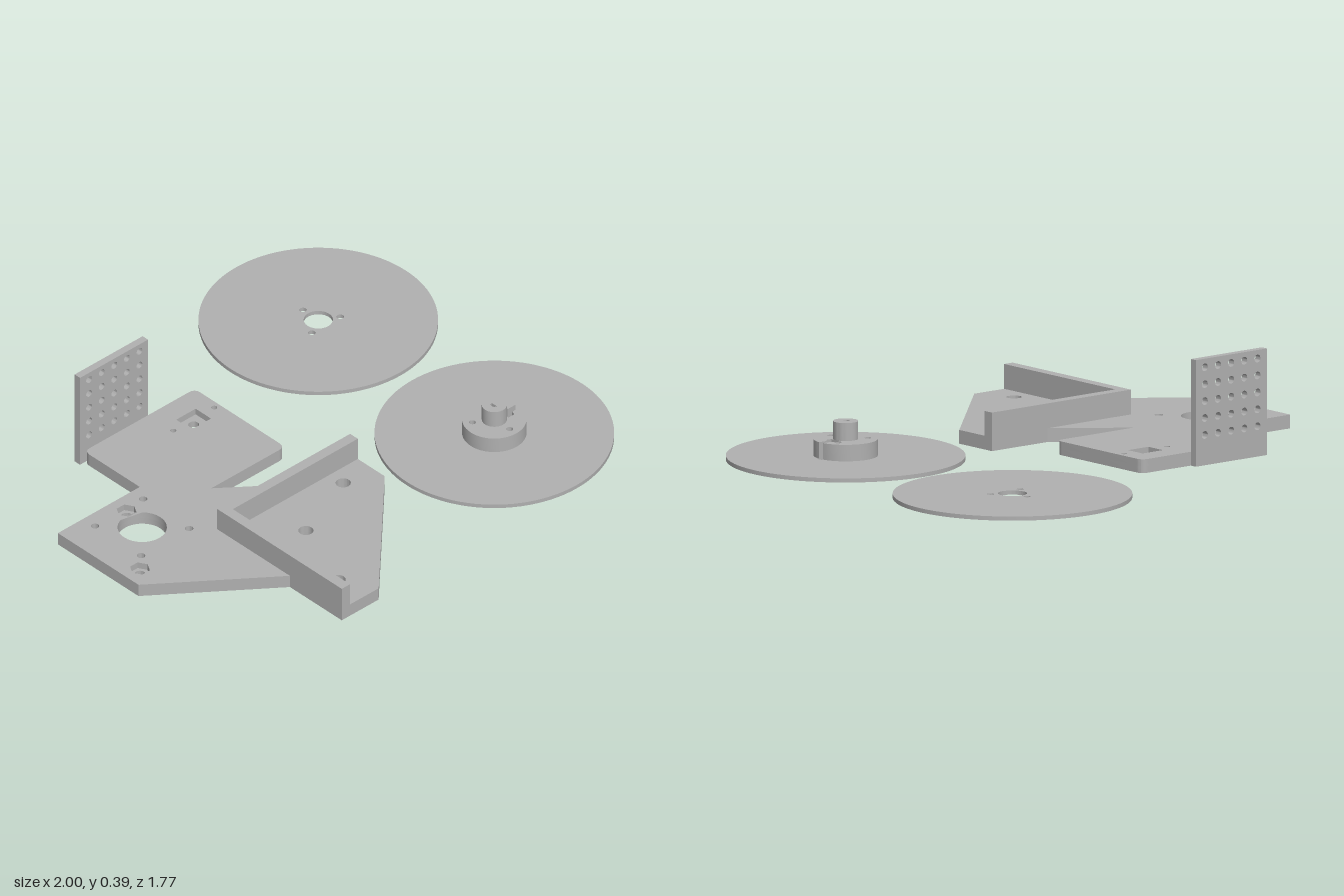
import * as THREE from 'three';
import { toCreasedNormals } from 'three/addons/utils/BufferGeometryUtils.js';

const grey = new THREE.MeshStandardMaterial({ color: 0xb0b0b0 });
grey.name = 'plain grey';

const polygon = (points) => new THREE.Shape(points.map(([x, y]) => new THREE.Vector2(x, y)));

const circle = (x, y, r) => new THREE.Shape().absarc(x, y, r, 0, Math.PI * 2);

const hexagon = (x, y, r) => polygon(Array.from({ length: 6 }, (_, i) => {
  const a = i * Math.PI / 3;
  return [x + r * Math.cos(a), y + r * Math.sin(a)];
}));

const rect = (x0, y0, x1, y1) => polygon([[x0, y0], [x1, y0], [x1, y1], [x0, y1]]);

function extrude(shape, holes, depth, segments = 16) {
  shape.holes.push(...holes);
  return new THREE.ExtrudeGeometry(shape, { depth, bevelEnabled: false, curveSegments: segments });
}

function part(name, geometry) {
  const mesh = new THREE.Mesh(toCreasedNormals(geometry, 0.5), grey);
  mesh.name = name;
  return mesh;
}

// Flat slab from a floor plan drawn in (x, z), between two heights
function slab(name, shape, holes, y0, y1, segments) {
  const g = extrude(shape, holes, y1 - y0, segments);
  g.rotateX(Math.PI / 2).translate(0, y1, 0);
  return part(name, g);
}

// Floor plan shared by both layers of the chassis
function chassisPlan() {
  const r = 0.03, s = new THREE.Shape();
  s.moveTo(-1, -0.14);
  s.lineTo(-0.6, -0.14);
  s.lineTo(-0.6, -0.43 + r);
  s.quadraticCurveTo(-0.6, -0.43, -0.6 + r, -0.43);
  s.lineTo(-0.06 - r, -0.43);
  s.quadraticCurveTo(-0.06, -0.43, -0.06, -0.43 + r);
  s.lineTo(-0.06, 0.04 - r);
  s.quadraticCurveTo(-0.06, 0.04, -0.06 - r, 0.04);
  for (const [x, z] of [[-0.42, 0.04], [-0.18, 0.23], [0.08, 0.23], [0.08, 0.41],
    [-0.39, 0.88], [-0.57, 0.88], [-0.57, 0.61], [-1, 0.28]]) s.lineTo(x, z);
  s.closePath();
  return s;
}

function chassis() {
  const group = new THREE.Group();
  group.name = 'chassis';
  const nuts = [[-0.73, -0.07], [-0.93, 0.213]];
  const through = () => [
    circle(-0.757, 0.04, 0.088),
    ...[[-0.875, -0.08], [-0.64, -0.08], [-0.875, 0.16], [-0.64, 0.16]].map(([x, z]) => circle(x, z, 0.015)),
    ...[-0.285, -0.085].map((x) => circle(x, -0.302, 0.011)),
    ...[[-0.345, 0.453], [-0.055, 0.338], [-0.46, 0.743]].map(([x, z]) => circle(x, z, 0.027)),
  ];
  // Lower layer has round holes, upper layer the hexagonal and square pockets
  group.add(slab('chassisLowerLayer', chassisPlan(),
    [...through(), ...nuts.map(([x, z]) => circle(x, z, 0.02)), circle(-0.185, -0.302, 0.019)], 0, 0.025));
  group.add(slab('chassisUpperLayer', chassisPlan(),
    [...through(), ...nuts.map(([x, z]) => hexagon(x, z, 0.037)), rect(-0.233, -0.342, -0.138, -0.262)], 0.025, 0.05));
  // Raised corner wall
  group.add(slab('cornerWall', polygon([[-0.57, 0.23], [0.08, 0.23], [0.08, 0.27],
    [-0.53, 0.27], [-0.53, 0.88], [-0.57, 0.88]]), [], 0.05, 0.14));
  return group;
}

// Upright plate with a five by five grid of holes
function perforatedPlate() {
  const holes = [];
  for (let i = 0; i < 5; i++)
    for (let j = 0; j < 5; j++) holes.push(circle(-0.576 + i * 0.0615, 0.11 + j * 0.0615, 0.014));
  const g = extrude(rect(-0.62, 0, -0.288, 0.387), holes, 0.028);
  g.translate(0, 0, -0.458);
  return part('perforatedPlate', g);
}

// Three screw holes around a centre, the first pointing along dir in z
const screwHoles = (x, z, dir, r) => [0, 1, 2].map((i) => {
  const a = dir * Math.PI / 2 + i * Math.PI * 2 / 3;
  return circle(x + 0.08 * Math.cos(a), z + 0.08 * Math.sin(a), r);
});

function hubDisc() {
  const x = 0.573, z = 0.455, group = new THREE.Group();
  group.name = 'hubDisc';
  // Nut trap and screw slot, cut through both disc and hub
  const wide = 0.027, narrow = 0.011;
  const trap = [[0.695, narrow], [0.65, narrow], [0.645, wide], [0.617, wide],
    [0.617, -wide], [0.645, -wide], [0.65, -narrow], [0.695, -narrow]].map(([px, pz]) => [px, z + pz]);
  group.add(slab('disc', circle(x, z, 0.427), [polygon(trap)], 0, 0.015, 48));

  const R = 0.115, a = Math.asin(narrow / R);
  const collar = new THREE.Shape();
  collar.absarc(x, z, R, a, Math.PI * 2 - a, false);
  for (const [px, pz] of trap.slice(1, 7).reverse()) collar.lineTo(px, pz);
  collar.closePath();
  group.add(slab('collar', collar, screwHoles(x, z, 1, 0.012), 0.015, 0.075, 24));

  // Shaft with a blind D-shaped bore
  const bore = new THREE.Shape().absarc(x, z, 0.013, Math.PI / 2, Math.PI * 1.5);
  bore.closePath();
  group.add(slab('shaft', circle(x, z, 0.045), [bore], 0.075, 0.14, 20));
  return group;
}

export function createModel() {
  const model = new THREE.Group();
  model.name = 'robotChassisParts';
  model.add(chassis(), perforatedPlate(), hubDisc());
  // Plain disc with a centre opening
  model.add(slab('plainDisc', circle(0.573, -0.462, 0.427),
    [circle(0.573, -0.462, 0.052), ...screwHoles(0.573, -0.462, -1, 0.013)], 0, 0.015, 48));
  return model;
}
